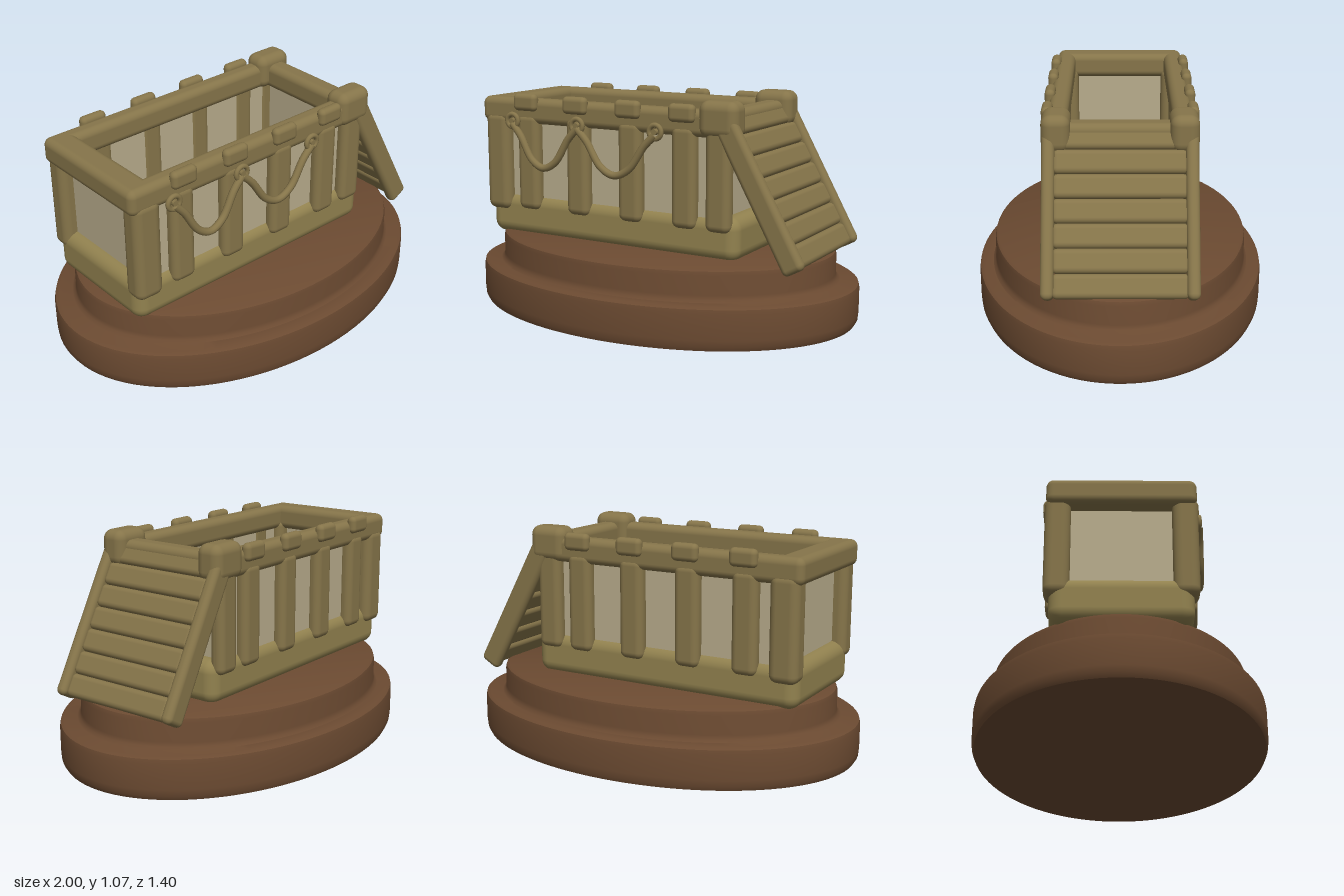
import * as THREE from 'three';
import { RoundedBoxGeometry } from 'three/addons/geometries/RoundedBoxGeometry.js';
import { toCreasedNormals } from 'three/addons/utils/BufferGeometryUtils.js';

export function createModel() {
  const model = new THREE.Group();
  const wood = new THREE.MeshStandardMaterial({ color: 0x86754a });
  const hull = new THREE.MeshStandardMaterial({ color: 0x92824f });
  const earth = new THREE.MeshStandardMaterial({ color: 0x6b4a31 });
  const pale = new THREE.MeshStandardMaterial({ color: 0xb8ac8c });

  const add = (name, geometry, material, parent = model) => {
    const mesh = new THREE.Mesh(geometry, material);
    mesh.name = name;
    parent.add(mesh);
    return mesh;
  };
  // Rounded block given by its limits on each axis
  const block = (name, [x0, x1], [y0, y1], [z0, z1], r, material = wood, parent = model) => {
    const mesh = add(name, new RoundedBoxGeometry(x1 - x0, y1 - y0, z1 - z0, 4, r), material, parent);
    mesh.position.set((x0 + x1) / 2, (y0 + y1) / 2, (z0 + z1) / 2);
    return mesh;
  };
  const span = (s, a, b) => (s > 0 ? [a, b] : [-b, -a]);

  // Two-step oval plinth
  const profile = [
    [0, 0], [0.985, 0], [0.997, 0.02], [1, 0.05], [1, 0.17], [0.995, 0.19], [0.975, 0.2],
    [0.905, 0.2], [0.89, 0.21], [0.884, 0.23], [0.884, 0.32], [0.878, 0.338], [0.862, 0.346], [0, 0.346],
  ].map(([x, y]) => new THREE.Vector2(x, y));
  const plinth = new THREE.LatheGeometry(profile, 96);
  plinth.scale(1, 1, 0.7);
  add('plinth', toCreasedNormals(plinth, 0.7), earth);

  // Solid lower tub
  block('tub', [-0.845, 0.56], [0.33, 0.54], [-0.315, 0.315], 0.06, hull);

  // Pale wall panels
  for (const s of [1, -1]) {
    const side = add('sidePanel', new THREE.BoxGeometry(1.26, 0.44, 0.02), pale);
    side.position.set(-0.14, 0.73, s * 0.28);
  }
  for (const x of [-0.78, 0.48]) {
    const end = add('endPanel', new THREE.BoxGeometry(0.02, 0.44, 0.56), pale);
    end.position.set(x, 0.73, 0);
  }

  // Top rails
  for (const s of [1, -1]) {
    block('sideRail', [-0.87, 0.52], [0.9, 1.025], span(s, 0.24, 0.335), 0.035);
  }
  block('endRail', [-0.87, -0.73], [0.9, 1.025], [-0.335, 0.335], 0.035);
  block('rampRail', [0.42, 0.53], [0.9, 1.025], [-0.3, 0.3], 0.035);

  // Posts, rail clips and ramp knobs on both long sides
  for (const s of [1, -1]) {
    for (const x of [-0.59, -0.297, 0, 0.29, 0.467]) {
      block('post', [x - 0.063, x + 0.063], [0.47, 0.95], span(s, 0.265, 0.34), 0.034);
    }
    block('cornerPost', [-0.852, -0.71], [0.455, 0.95], span(s, 0.225, 0.34), 0.04);
    for (const x of [-0.59, -0.297, 0, 0.29]) {
      block('railClip', [x - 0.068, x + 0.068], [0.965, 1.05], span(s, 0.31, 0.36), 0.024);
    }
    block('rampKnob', [0.37, 0.567], [0.9, 1.07], span(s, 0.22, 0.35), 0.045);
  }

  // Sloping ramp; local y runs up the slope, local x is its thickness
  const top = new THREE.Vector2(0.49, 0.99), foot = new THREE.Vector2(0.835, 0.37);
  const length = top.distanceTo(foot);
  const ramp = new THREE.Group();
  ramp.name = 'ramp';
  ramp.position.set((top.x + foot.x) / 2, (top.y + foot.y) / 2, 0);
  ramp.rotation.z = Math.atan2(foot.x - top.x, top.y - foot.y);
  model.add(ramp);
  for (const s of [1, -1]) {
    block('rampBeam', [-0.055, 0.055], [-length / 2 - 0.04, length / 2], span(s, 0.288, 0.346), 0.026, wood, ramp);
  }
  const pitch = 0.109;
  for (let i = 0; i < 7; i++) {
    const y = -length / 2 - 0.035 + i * pitch;
    block('rampSlat', [-0.03, 0.035], [y, y + pitch], [-0.3, 0.3], 0.025, wood, ramp);
  }

  // Rings with pegs, and the rope swagged between them
  const hooks = [-0.66, -0.275, 0.16];
  for (const x of hooks) {
    const ring = add('ropeRing', new THREE.TorusGeometry(0.032, 0.012, 10, 28), wood);
    ring.position.set(x, 0.915, 0.355);
    const peg = add('ropePeg', new THREE.CylinderGeometry(0.014, 0.014, 0.05, 16), wood);
    peg.rotation.x = Math.PI / 2;
    peg.position.set(x, 0.915, 0.343);
  }
  for (let i = 0; i < 2; i++) {
    const a = hooks[i], b = hooks[i + 1];
    const points = [[0, 0.9], [0.13, 0.845], [0.32, 0.73], [0.5, 0.695], [0.68, 0.73], [0.87, 0.845], [1, 0.9]]
      .map(([t, y]) => new THREE.Vector3(a + (b - a) * t, y, 0.357 + (0.9 - y) * 0.05));
    add('rope', new THREE.TubeGeometry(new THREE.CatmullRomCurve3(points), 40, 0.018, 10), wood);
  }
  return model;
}
